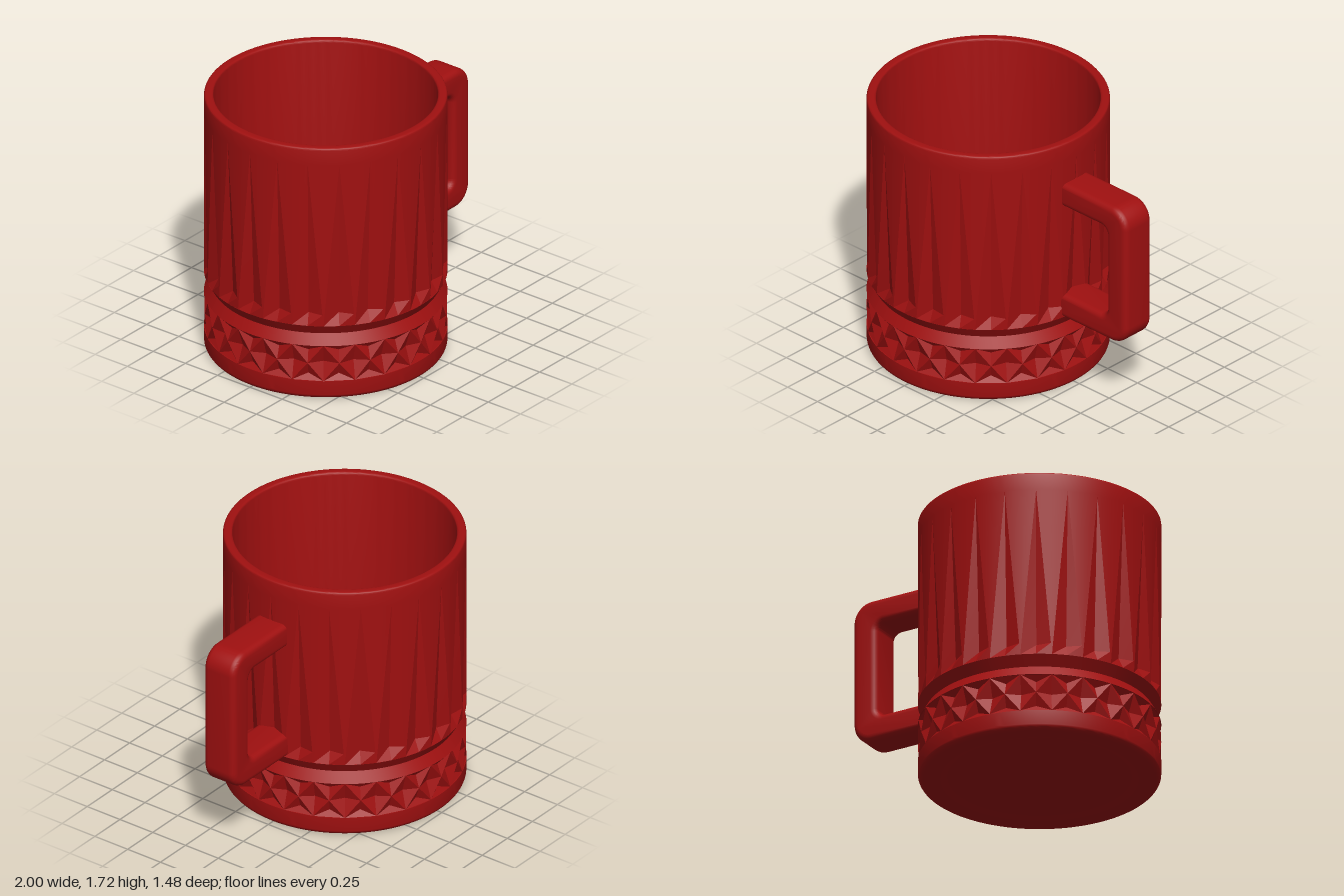
import * as THREE from 'three';
import { toCreasedNormals } from 'three/addons/utils/BufferGeometryUtils.js';

const R = 0.738, COUNT = 24, CX = -0.262;
const STEP = (Math.PI * 2) / COUNT;
const material = new THREE.MeshStandardMaterial({ color: 0xa01010 });

// point on the mug wall: u in ornament steps, y height, inset into the wall
const wall = (u, y, inset = 0) => [
  (R - inset) * Math.sin(u * STEP), y, (R - inset) * Math.cos(u * STEP)];

function fromTriangles(list, crease) {
  const g = new THREE.BufferGeometry();
  g.setAttribute('position', new THREE.Float32BufferAttribute(list.flat(2), 3));
  return toCreasedNormals(g, crease);
}

function mesh(name, geometry) {
  const m = new THREE.Mesh(geometry, material);
  m.name = name;
  return m;
}

function turned(name, profile) {
  const pts = profile.map(([x, y]) => new THREE.Vector2(x, y));
  return mesh(name, toCreasedNormals(new THREE.LatheGeometry(pts, 144), 0.5));
}

// quarter round between two angles, as profile points
function arc(cx, cy, r, a0, a1, n = 8) {
  return Array.from({ length: n + 1 }, (_, i) => {
    const a = a0 + ((a1 - a0) * i) / n;
    return [cx + r * Math.cos(a), cy + r * Math.sin(a)];
  });
}

// tapering V grooves, pointed at the top and deepest near the bottom
function flutes() {
  const top = 1.6, deepY = 0.575, bottom = 0.5, depth = 0.04;
  const rows = [bottom, deepY, 0.85, 1.1, 1.35, top].map((y) => {
    const w = (0.5 * (top - y)) / (top - bottom);
    const d = y === bottom ? 0 : (depth * (top - y)) / (top - deepY);
    const row = [];
    for (let k = 0; k < COUNT; k++) {
      for (let i = 0; i <= 3; i++) row.push(wall(k - 0.5 + ((0.5 - w) * i) / 3, y));
      row.push(wall(k, y, d));
      for (let i = 0; i <= 3; i++) row.push(wall(k + w + ((0.5 - w) * i) / 3, y));
    }
    row.push(row[0]);
    return row;
  });
  const tris = [];
  for (let j = 0; j < rows.length - 1; j++) {
    for (let i = 0; i < rows[j].length - 1; i++) {
      const a = rows[j][i], b = rows[j][i + 1], c = rows[j + 1][i + 1], d = rows[j + 1][i];
      tris.push([a, b, c], [a, c, d]);
    }
  }
  return mesh('flutedWall', fromTriangles(tris, 0.12));
}

// band of recessed diamonds with recessed triangles between them
function diamondBand() {
  const lo = 0.125, hi = 0.365, mid = 0.245, depth = 0.04;
  const tris = [];
  const recess = (corners, centre) => corners.forEach((p, i) =>
    tris.push([p, corners[(i + 1) % corners.length], centre]));
  for (let k = 0; k < COUNT; k++) {
    recess([wall(k + 0.5, lo), wall(k + 1, mid), wall(k + 0.5, hi), wall(k, mid)],
      wall(k + 0.5, mid, depth));
    recess([wall(k, mid), wall(k + 0.5, hi), wall(k - 0.5, hi)], wall(k, hi - 0.04, depth * 0.8));
    recess([wall(k, mid), wall(k - 0.5, lo), wall(k + 0.5, lo)], wall(k, lo + 0.04, depth * 0.8));
  }
  return mesh('diamondBand', fromTriangles(tris, 0.05));
}

// squared handle with rounded corners and softened edges
function handle() {
  const x0 = 0.42, x1 = 1, y0 = 0.497, y1 = 1.435, ro = 0.13;
  const xi = 0.832, yi0 = 0.658, yi1 = 1.275, ri = 0.05, bevel = 0.04, width = 0.234;
  const s = new THREE.Shape();
  s.moveTo(x0, y0);
  s.lineTo(x1 - ro, y0);
  s.absarc(x1 - ro, y0 + ro, ro, -Math.PI / 2, 0, false);
  s.absarc(x1 - ro, y1 - ro, ro, 0, Math.PI / 2, false);
  s.lineTo(x0, y1);
  s.lineTo(x0, yi1);
  s.lineTo(xi - ri, yi1);
  s.absarc(xi - ri, yi1 - ri, ri, Math.PI / 2, 0, true);
  s.absarc(xi - ri, yi0 + ri, ri, 0, -Math.PI / 2, true);
  s.lineTo(x0, yi0);
  s.closePath();
  const g = new THREE.ExtrudeGeometry(s, {
    depth: width - 2 * bevel, bevelEnabled: true, bevelThickness: bevel,
    bevelSize: bevel, bevelOffset: -bevel, bevelSegments: 5, curveSegments: 10,
  });
  g.translate(0, 0, -width / 2 + bevel);
  return mesh('handle', toCreasedNormals(g, 0.6));
}

export function createModel() {
  const group = new THREE.Group();
  group.name = 'mug';
  const body = new THREE.Group();
  body.name = 'body';
  body.position.x = CX;

  // foot with a shallow recess underneath
  body.add(turned('foot', [
    [0, 0.025], [0.54, 0.025], [0.57, 0.018], [0.6, 0.004], [0.63, 0],
    ...arc(R - 0.04, 0.04, 0.04, -Math.PI / 2, 0), [R, 0.125], [0.69, 0.125],
  ]));
  body.add(diamondBand());
  // pinched neck between band and flutes
  body.add(turned('neck', [[0.69, 0.365], [R, 0.365], [0.698, 0.433], [R, 0.5], [0.7, 0.5]]));
  body.add(flutes());
  // rim, inner wall and rounded inner floor
  body.add(turned('rimAndInterior', [
    [R, 1.6], ...arc(R - 0.015, 1.7, 0.015, 0, Math.PI / 2, 4),
    ...arc(0.695, 1.7, 0.015, Math.PI / 2, Math.PI, 4),
    ...arc(0.53, 0.27, 0.15, 0, -Math.PI / 2, 10), [0, 0.12],
  ]));

  group.add(body, handle());
  return group;
}
